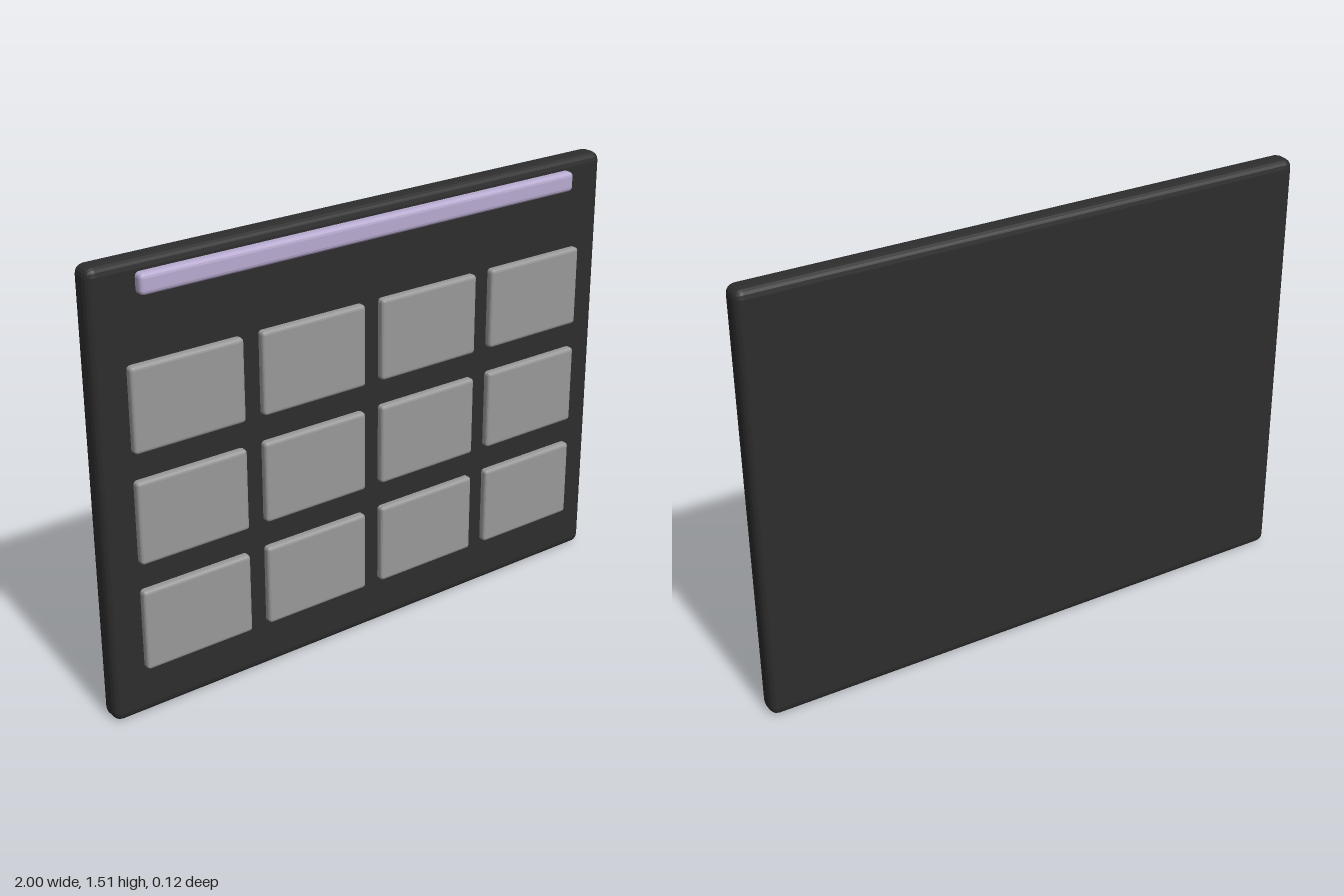
import * as THREE from 'three';
import { RoundedBoxGeometry } from 'three/addons/geometries/RoundedBoxGeometry.js';

function material(name, color) {
  const m = new THREE.MeshStandardMaterial({ color, flatShading: true });
  m.name = name;
  return m;
}

export function createModel() {
  const group = new THREE.Group();
  group.name = 'panel';
  const charcoal = material('charcoal', 0x2d2d2d);
  const grey = material('grey', 0x999999);
  const lilac = material('lilac', 0xb8abd0);

  // Softly bevelled block, spanning z from back to front
  const block = (name, mat, w, h, back, front, x, y, radius) => {
    const mesh = new THREE.Mesh(new RoundedBoxGeometry(w, h, front - back, 2, radius), mat);
    mesh.name = name;
    mesh.position.set(x, y, (front + back) / 2);
    group.add(mesh);
  };

  // Backing board
  block('board', charcoal, 2, 1.51, -0.06, 0.028, 0, 0.755, 0.03);

  // Strip along the top
  block('topBar', lilac, 1.69, 0.068, 0, 0.06, 0, 1.438, 0.015);

  // Three rows of four tiles
  for (let row = 0; row < 3; row++) {
    for (let col = 0; col < 4; col++) {
      block(`tileRow${row + 1}Column${col + 1}`, grey, 0.395, 0.28, 0.003, 0.054,
        (col - 1.5) * 0.462, 1.054 - row * 0.372, 0.012);
    }
  }
  return group;
}
